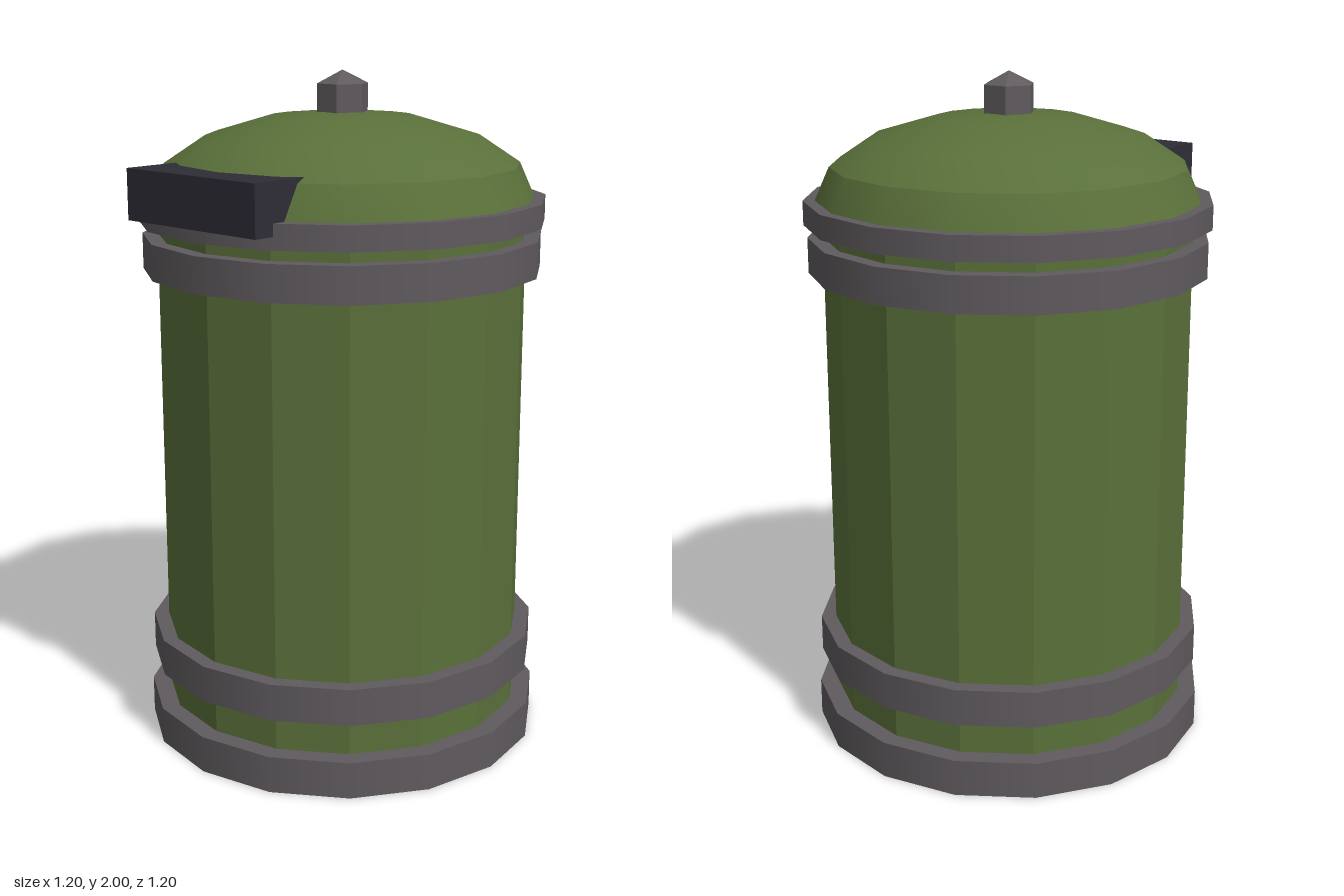
import * as THREE from 'three';
import { toCreasedNormals } from 'three/addons/utils/BufferGeometryUtils.js';

const SIDES = 16;

export function createModel() {
  const green = new THREE.MeshStandardMaterial({ color: 0x5a703a });
  green.name = 'greenPaint';
  const metal = new THREE.MeshStandardMaterial({ color: 0x5f5a5e, side: THREE.DoubleSide });
  metal.name = 'greyMetal';
  const dark = new THREE.MeshStandardMaterial({ color: 0x2e2d37 });
  dark.name = 'darkHandle';
  const under = new THREE.MeshStandardMaterial({ color: 0x484848 });
  under.name = 'darkUnderside';

  const model = new THREE.Group();
  model.name = 'bin';
  const add = (name, geometry, material, y = 0, z = 0) => {
    const mesh = new THREE.Mesh(geometry, material);
    mesh.name = name;
    mesh.position.set(0, y, z);
    model.add(mesh);
    return mesh;
  };
  // Upright drum between two heights
  const drum = (r, y0, y1, open = false) =>
    new THREE.CylinderGeometry(r, r, y1 - y0, SIDES, 1, open).translate(0, (y0 + y1) / 2, 0);
  const faceted = (g) => {
    const flat = g.toNonIndexed();
    flat.computeVertexNormals();
    return flat;
  };

  // Faceted body
  add('body', faceted(drum(0.545, 0.1, 1.58)), green);

  // Hollow foot: skirt, shoulder and recessed underside
  add('baseSkirt', drum(0.6, 0, 0.11, true), metal);
  const disc = (a) => new THREE.CircleGeometry(0.6, SIDES).rotateX(a);
  add('baseShoulder', disc(-Math.PI / 2), metal, 0.11);
  add('baseUnderside', disc(Math.PI / 2), under, 0.106);

  // Hoops and lid rim
  add('lowerBand', drum(0.59, 0.22, 0.33), metal);
  add('upperBand', drum(0.59, 1.425, 1.53), metal);
  add('lidRim', drum(0.6, 1.567, 1.638), metal);

  // Shallow domed lid with a crease above its lowest ring
  const dome = new THREE.SphereGeometry(0.565, SIDES, 4, 0, Math.PI * 2, 0, Math.PI / 2);
  dome.scale(1, 0.25 / 0.565, 1);
  add('lidDome', toCreasedNormals(dome, 0.5), green, 1.638);

  // Hexagonal knob with a pointed top
  const knob = new THREE.CylinderGeometry(0.077, 0.077, 0.09, 6).rotateY(Math.PI / 6);
  add('knob', faceted(knob), metal, 1.917);
  const tip = new THREE.ConeGeometry(0.077, 0.038, 6).rotateY(Math.PI / 6);
  add('knobTip', faceted(tip), metal, 1.981);

  // Front grip, its back buried in the dome
  add('handle', new THREE.BoxGeometry(0.508, 0.145, 0.2), dark, 1.6755, 0.502);

  return model;
}
